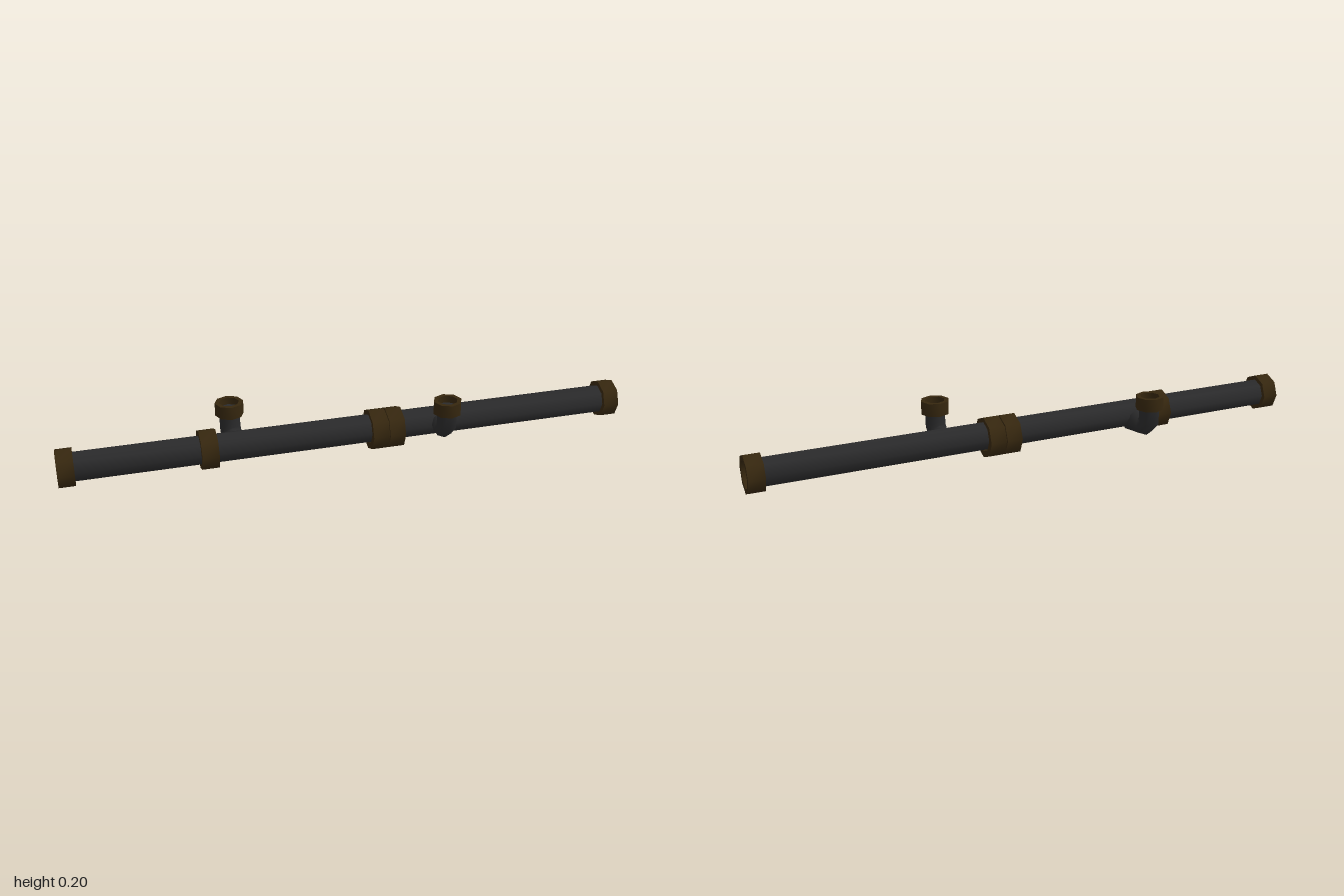
import * as THREE from 'three';
import { toCreasedNormals } from 'three/addons/utils/BufferGeometryUtils.js';

const SIDES = 8;

export function createModel() {
  const model = new THREE.Group();
  model.name = 'pipeRun';
  const iron = new THREE.MeshStandardMaterial({ color: 0x2a2a2b });
  iron.name = 'darkIron';
  const brass = new THREE.MeshStandardMaterial({ color: 0x36270f });
  brass.name = 'agedBrass';

  const add = (name, geometry, material, parent = model) => {
    const mesh = new THREE.Mesh(geometry, material);
    mesh.name = name;
    parent.add(mesh);
    return mesh;
  };

  // Octagonal ring along y, with hard rims and a softly shaded wall
  const ring = (outer, inner, length) => {
    const h = length / 2;
    const profile = [[inner, -h], [outer, -h], [outer, h], [inner, h], [inner, -h]]
      .map(([r, y]) => new THREE.Vector2(r, y));
    return toCreasedNormals(new THREE.LatheGeometry(profile, SIDES), 0.9);
  };

  // Main pipe, its ends recessed inside the end collars
  const pipe = add('mainPipe',
    toCreasedNormals(new THREE.CylinderGeometry(0.051, 0.051, 1.93, SIDES), 0.9), iron);
  pipe.rotation.z = -Math.PI / 2;
  pipe.position.set(0, 0.08, 0.015);

  // Collars: x, y, outer radius, length
  const collars = [
    ['endCollarRight', -0.972, 0.08, 0.067, 0.056],
    ['middleCollar', -0.5, 0.08, 0.07, 0.058],
    ['jointCollarA', 0.094, 0.074, 0.073, 0.056],
    ['jointCollarB', 0.154, 0.074, 0.073, 0.056],
    ['endCollarLeft', 0.972, 0.08, 0.067, 0.056],
  ];
  for (const [name, x, y, radius, length] of collars) {
    const collar = add(name, ring(radius, 0.049, length), brass);
    collar.rotation.z = -Math.PI / 2;
    collar.position.set(x, y, 0.015);
  }
  // Narrow neck joining the paired collars
  const neck = add('jointNeck', ring(0.066, 0.049, 0.01), brass);
  neck.rotation.z = -Math.PI / 2;
  neck.position.set(0.124, 0.074, 0.015);

  // Elbow skin through octagonal sections: [outer z, outer y, inner z, inner y, x radius]
  const elbow = (sections) => {
    const positions = [], index = [];
    sections.forEach(([oz, oy, iz, iy, rx], i) => {
      for (let j = 0; j < SIDES; j++) {
        const a = (j / SIDES) * Math.PI * 2;
        const t = (1 + Math.cos(a)) / 2;
        positions.push(rx * Math.sin(a), iy + (oy - iy) * t, iz + (oz - iz) * t);
        if (i < sections.length - 1) {
          const p = i * SIDES + j, q = i * SIDES + (j + 1) % SIDES;
          index.push(p, p + SIDES, q, q, p + SIDES, q + SIDES);
        }
      }
    });
    const geometry = new THREE.BufferGeometry();
    geometry.setAttribute('position', new THREE.Float32BufferAttribute(positions, 3));
    geometry.setIndex(index);
    geometry.computeVertexNormals();
    return geometry;
  };

  // Branch rising from the side of the main pipe, built facing +z
  const branch = (name, x, sections, topY, turn) => {
    const group = new THREE.Group();
    group.name = name;
    group.position.x = x;
    group.rotation.y = turn;
    add(name + 'Elbow', elbow(sections), iron, group);
    add(name + 'Collar', ring(0.05, 0.035, 0.046), brass, group)
      .position.set(0, topY - 0.023, 0.114);
    const plug = add(name + 'Bore', new THREE.CircleGeometry(0.0365, SIDES), iron, group);
    plug.rotation.x = -Math.PI / 2;
    plug.position.set(0, topY - 0.025, 0.114);
    model.add(group);
  };

  branch('frontBranch', 0.32, [
    [0.15, 0.175, 0.077, 0.175, 0.036],
    [0.15, 0.1, 0.077, 0.12, 0.036],
    [0.1, 0.05, 0.075, 0.117, 0.036],
    [0.02, 0.05, 0.02, 0.122, 0.036],
  ], 0.201, 0);
  branch('backBranch', -0.4, [
    [0.149, 0.158, 0.076, 0.158, 0.036],
    [0.149, 0.077, 0.076, 0.1, 0.036],
    [0.1, 0.031, 0.074, 0.097, 0.037],
    [0.0, 0.014, 0.0, 0.105, 0.043],
  ], 0.183, Math.PI);

  return model;
}
